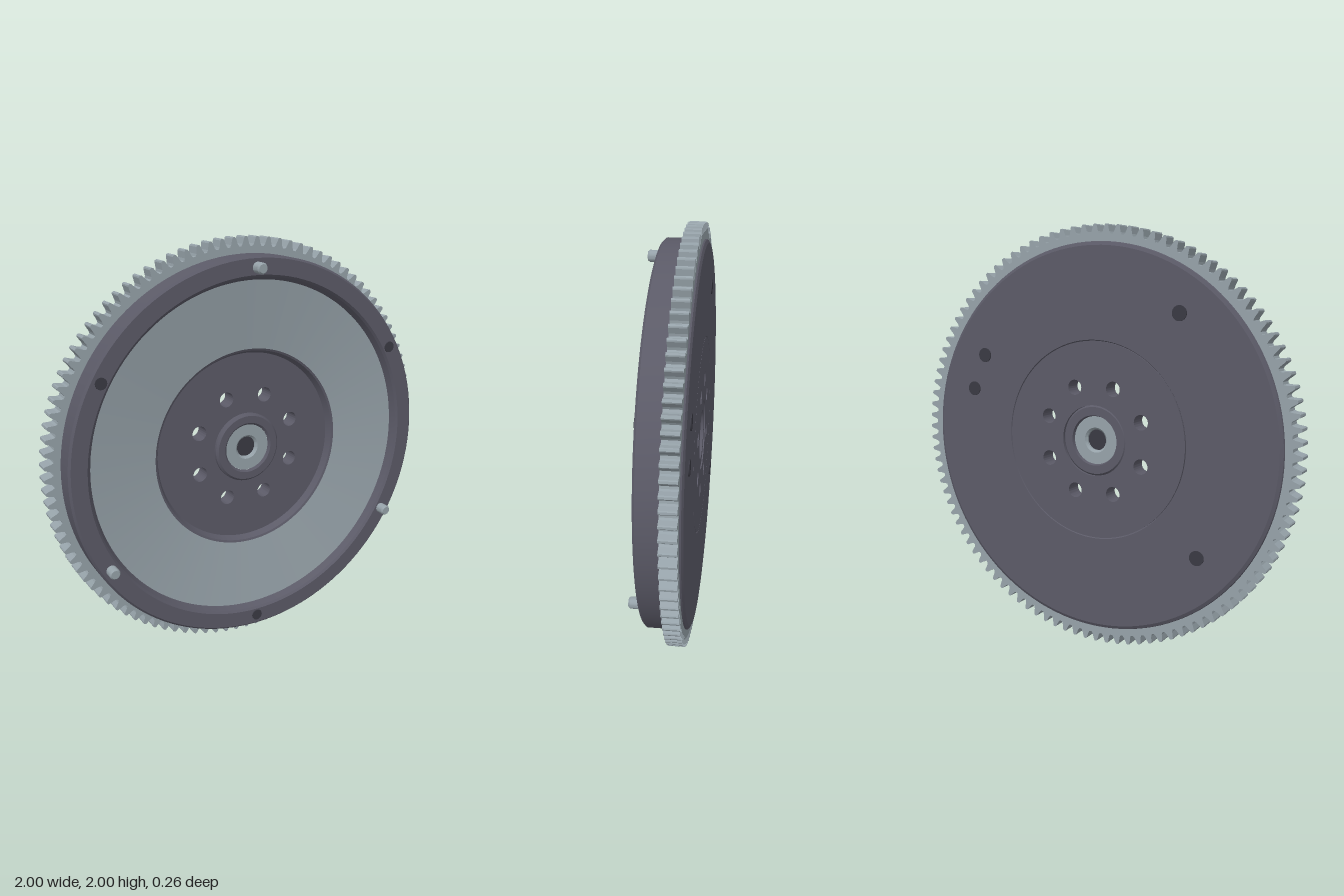
import * as THREE from 'three';
import { toCreasedNormals } from 'three/addons/utils/BufferGeometryUtils.js';

const castIron = new THREE.MeshStandardMaterial({ name: 'cast iron', color: 0x5b5a67 });
const steel = new THREE.MeshStandardMaterial({ name: 'machined steel', color: 0x96a2a9 });
const shadowIron = new THREE.MeshStandardMaterial({ name: 'dark bore', color: 0x3a3a43 });

export function createModel() {
  const model = new THREE.Group();
  model.name = 'flywheel';
  const wheel = new THREE.Group();
  wheel.name = 'wheel';
  wheel.position.y = 1;
  model.add(wheel);

  const add = (name, geometry, material, x = 0, y = 0, z = 0) => {
    const mesh = new THREE.Mesh(geometry, material);
    mesh.name = name;
    mesh.position.set(x, y, z);
    wheel.add(mesh);
    return mesh;
  };
  // Profile of [radius, z] pairs spun around the z axis
  const spin = (profile, segments = 128) => {
    const geometry = new THREE.LatheGeometry(profile.map(([r, z]) => new THREE.Vector2(r, z)), segments);
    geometry.rotateX(Math.PI / 2);
    return toCreasedNormals(geometry, 0.3);
  };
  const cylinder = (radius, length) =>
    new THREE.CylinderGeometry(radius, radius, length, 24).rotateX(Math.PI / 2);
  const circle = (x, y, r) => new THREE.Path().absarc(x, y, r, 0, Math.PI * 2, true);

  // Main body: flat back, outer wall, raised front rim
  add('body', spin([
    [0.47, -0.11], [0.475, -0.12], [0.905, -0.12], [0.92, -0.112], [0.925, -0.1],
    [0.925, 0.07], [0.915, 0.08], [0.84, 0.08], [0.83, 0.07], [0.815, 0.04],
  ]), castIron);

  // Dished friction face and the step down to the centre
  add('frictionFace', spin([[0.815, 0.04], [0.49, 0.0]]), steel);
  add('centreStep', spin([[0.49, 0.0], [0.48, -0.004], [0.465, -0.035]]), castIron);

  // Centre plate with eight bolt holes
  const plate = new THREE.Shape().absarc(0, 0, 0.47, 0, Math.PI * 2);
  plate.holes.push(circle(0, 0, 0.169));
  for (let i = 0; i < 8; i++) {
    const a = (i + 0.5) * Math.PI / 4;
    plate.holes.push(circle(0.269 * Math.cos(a), 0.269 * Math.sin(a), 0.036));
  }
  const plateGeometry = new THREE.ExtrudeGeometry(plate, { depth: 0.085, bevelEnabled: false, curveSegments: 48 });
  add('centrePlate', toCreasedNormals(plateGeometry, 0.3), castIron, 0, 0, -0.12);

  // Hub collar, pilot bearing and its blocked bore
  add('hubCollar', spin([
    [0.115, -0.1], [0.12, -0.115], [0.16, -0.115], [0.17, -0.105],
    [0.17, -0.02], [0.16, -0.01], [0.125, -0.01], [0.115, -0.02],
  ], 64), castIron);
  add('pilotBearing', spin([
    [0.05, -0.06], [0.05, -0.09], [0.06, -0.1], [0.115, -0.1],
    [0.115, -0.022], [0.06, -0.022], [0.05, -0.032], [0.05, -0.06],
  ], 64), steel);
  add('boreCore', cylinder(0.05, 0.04), shadowIron, 0, 0, -0.06);

  // Toothed ring gear
  const teeth = 104;
  const pitch = Math.PI * 2 / teeth;
  const tooth = [[-0.4, 0.957], [-0.29, 0.967], [-0.15, 0.995], [-0.08, 1], [0.08, 1], [0.15, 0.995], [0.29, 0.967], [0.4, 0.957]];
  const outline = [];
  for (let i = 0; i < teeth; i++) {
    for (const [offset, r] of tooth) {
      const a = Math.PI / 2 + (i + offset) * pitch;
      outline.push(new THREE.Vector2(r * Math.cos(a), r * Math.sin(a)));
    }
  }
  const gear = new THREE.Shape(outline);
  gear.holes.push(circle(0, 0, 0.92));
  add('ringGear', new THREE.ExtrudeGeometry(gear, { depth: 0.075, bevelEnabled: false, curveSegments: 64 }),
    steel, 0, 0, -0.105);

  // Dowel pins alternate with tapped holes around the rim
  const pinGeometry = spin([[0.026, 0.06], [0.026, 0.122], [0.02, 0.13], [0, 0.13]], 24);
  for (let i = 0; i < 6; i++) {
    const a = Math.PI / 2 + i * Math.PI / 3;
    const x = 0.873 * Math.cos(a), y = 0.873 * Math.sin(a);
    if (i % 2 === 0) add('dowelPin', pinGeometry, steel, x, y);
    else add('rimHole', cylinder(0.027, 0.008), shadowIron, x, y, 0.08);
  }

  // Balance plugs on the back
  for (const [x, y] of [[0.625, 0.385], [0.695, 0.215], [-0.435, 0.6], [-0.535, -0.495]]) {
    add('balancePlug', cylinder(0.035, 0.009), shadowIron, x, y, -0.121);
  }
  return model;
}
